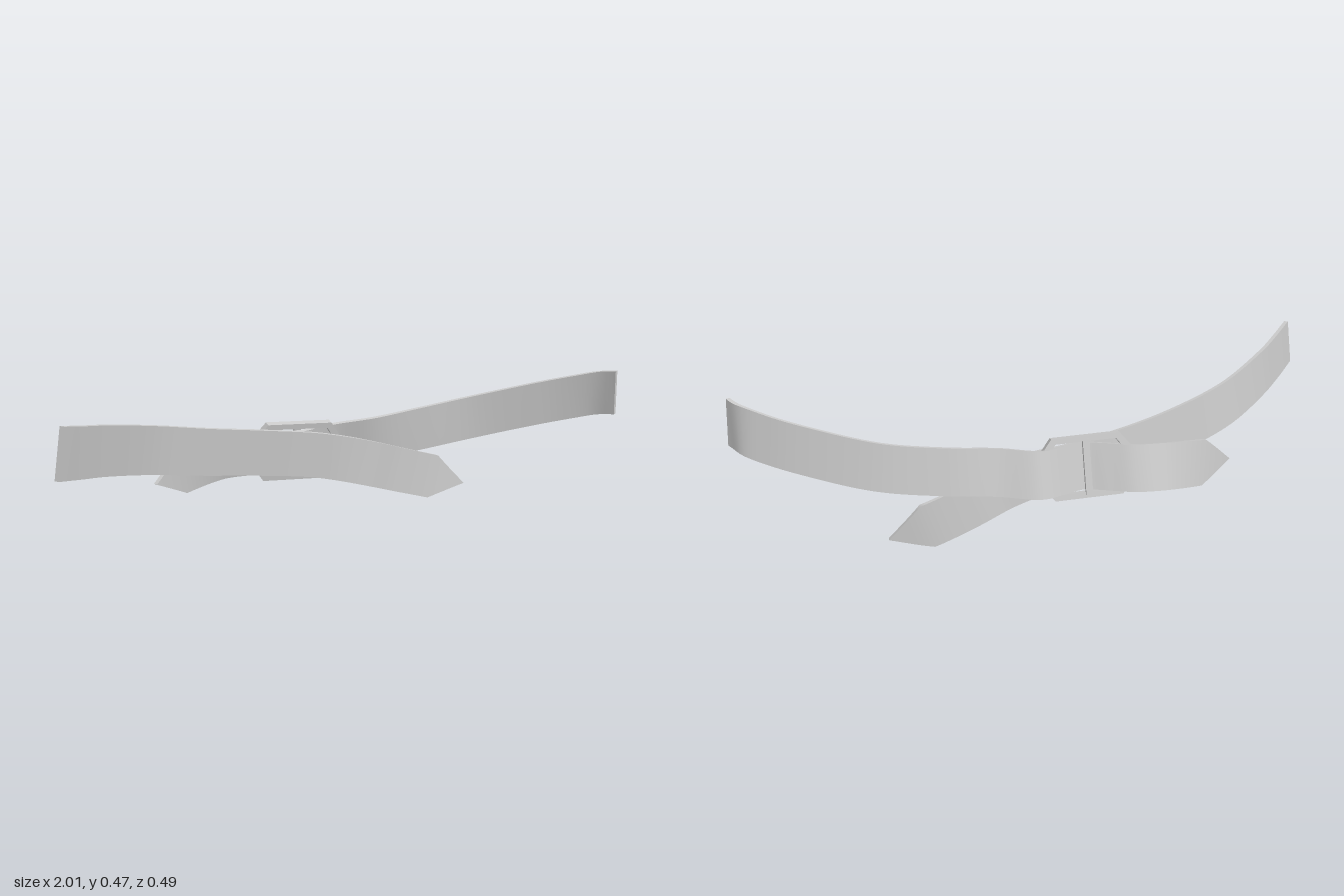
import * as THREE from 'three';

const material = new THREE.MeshStandardMaterial({ color: 0xcccccc, side: THREE.DoubleSide });
const WIDTH = 0.152, THICK = 0.014, TIP = 0.125;

// Flat strap swept along points [x, y, z, tilt]; the last end tapers to a point.
function strap(name, points) {
  const path = new THREE.CatmullRomCurve3(points.map(p => new THREE.Vector3(p[0], p[1], p[2])), false, 'centripetal');
  path.arcLengthDivisions = 600;
  const length = path.getLength(), corner = 1 - TIP / length;
  const stations = [];
  for (let i = 0; i <= 90; i++) stations.push(corner * i / 90);
  for (let i = 1; i <= 8; i++) stations.push(corner + (1 - corner) * i / 8);

  // Tilt (lean of the strap across its width) interpolated between path points
  const tiltAt = u => {
    const f = path.getUtoTmapping(u) * (points.length - 1);
    const i = Math.min(Math.floor(f), points.length - 2);
    return THREE.MathUtils.lerp(points[i][3], points[i + 1][3], f - i);
  };

  const rings = stations.map(u => {
    const c = path.getPointAt(u), t = path.getTangentAt(u);
    const up = new THREE.Vector3(-t.x * t.y, 1 - t.y * t.y, tiltAt(u)).normalize();
    const out = new THREE.Vector3().crossVectors(t, up).normalize().multiplyScalar(THICK / 2);
    const half = WIDTH / 2 * Math.min(1, Math.max(0.004, (1 - u) * length / TIP));
    const top = c.clone().addScaledVector(up, half), low = c.clone().addScaledVector(up, -half);
    return [low.clone().add(out), top.clone().add(out), top.clone().sub(out), low.clone().sub(out)];
  });

  const position = [], index = [];
  const push = v => position.push(v.x, v.y, v.z);
  // Four long faces, each with its own vertices so the edges stay sharp
  for (let k = 0; k < 4; k++) {
    const base = position.length / 3;
    rings.forEach(r => { push(r[k]); push(r[(k + 1) % 4]); });
    for (let i = 0; i < rings.length - 1; i++) {
      const a = base + i * 2;
      index.push(a, a + 2, a + 1, a + 1, a + 2, a + 3);
    }
  }
  // End caps
  [rings[0], [...rings[rings.length - 1]].reverse()].forEach(r => {
    const b = position.length / 3;
    r.forEach(push);
    index.push(b, b + 1, b + 2, b, b + 2, b + 3);
  });
  const geometry = new THREE.BufferGeometry();
  geometry.setAttribute('position', new THREE.Float32BufferAttribute(position, 3));
  geometry.setIndex(index);
  geometry.computeVertexNormals();
  const mesh = new THREE.Mesh(geometry, material);
  mesh.name = name;
  return mesh;
}

// Rectangle with cut corners
function octagon(target, w, h, cx, cy) {
  const x = w / 2, y = h / 2;
  target.setFromPoints([
    [-x + cx, -y], [x - cx, -y], [x, -y + cy], [x, y - cy],
    [x - cx, y], [-x + cx, y], [-x, y - cy], [-x, -y + cy],
  ].map(p => new THREE.Vector2(...p)));
  target.closePath();
  return target;
}

function buckle() {
  const group = new THREE.Group();
  group.name = 'buckle';
  const outline = octagon(new THREE.Shape(), 0.29, 0.2, 0.035, 0.045);
  outline.holes.push(octagon(new THREE.Path(), 0.245, 0.164, 0.025, 0.035));
  const geometry = new THREE.ExtrudeGeometry(outline, { depth: 0.026, bevelEnabled: false });
  geometry.translate(0, 0, -0.013);
  const frame = new THREE.Mesh(geometry, material);
  frame.name = 'buckleFrame';
  const bar = new THREE.Mesh(new THREE.BoxGeometry(0.022, 0.18, 0.014), material);
  bar.name = 'buckleCentreBar';
  bar.position.z = -0.011;
  group.add(frame, bar);
  group.position.set(-0.048, 0.221, -0.153);
  group.rotation.set(0.2, -0.17, 0);
  return group;
}

export function createModel() {
  const model = new THREE.Group();
  model.name = 'buckledStrap';

  // Strap from the right end, crossing in front of the buckle
  model.add(strap('rightStrap', [
    [-0.995, 0.4, 0.24, 0], [-0.9, 0.377, 0.16, 0.02], [-0.8, 0.355, 0.083, 0.03],
    [-0.6, 0.31, -0.033, 0.05], [-0.4, 0.27, -0.088, 0.07], [-0.2, 0.238, -0.117, 0.1],
    [0, 0.208, -0.113, 0.1], [0.1, 0.188, -0.086, 0.08], [0.2, 0.16, -0.082, 0.02],
    [0.32, 0.122, -0.096, 0], [0.46, 0.08, -0.1, 0], [0.583, 0.045, -0.079, 0],
  ]));

  // Strap from the left end, threaded through the buckle
  model.add(strap('leftStrap', [
    [0.992, 0.38, 0.235, 0.05], [0.965, 0.372, 0.175, 0.05], [0.9, 0.353, 0.112, 0.04],
    [0.8, 0.328, 0.042, 0.04], [0.6, 0.283, -0.06, 0.06], [0.4, 0.253, -0.104, 0.1],
    [0.24, 0.235, -0.128, 0.18], [0.11, 0.222, -0.172, 0.24], [0.03, 0.22, -0.155, 0.2],
    [-0.04, 0.218, -0.14, 0.2], [-0.11, 0.216, -0.17, 0.25], [-0.19, 0.213, -0.208, 0.27],
    [-0.28, 0.209, -0.221, 0.28], [-0.43, 0.19, -0.198, 0.15], [-0.553, 0.17, -0.155, 0.1],
  ]));

  model.add(buckle());
  return model;
}
